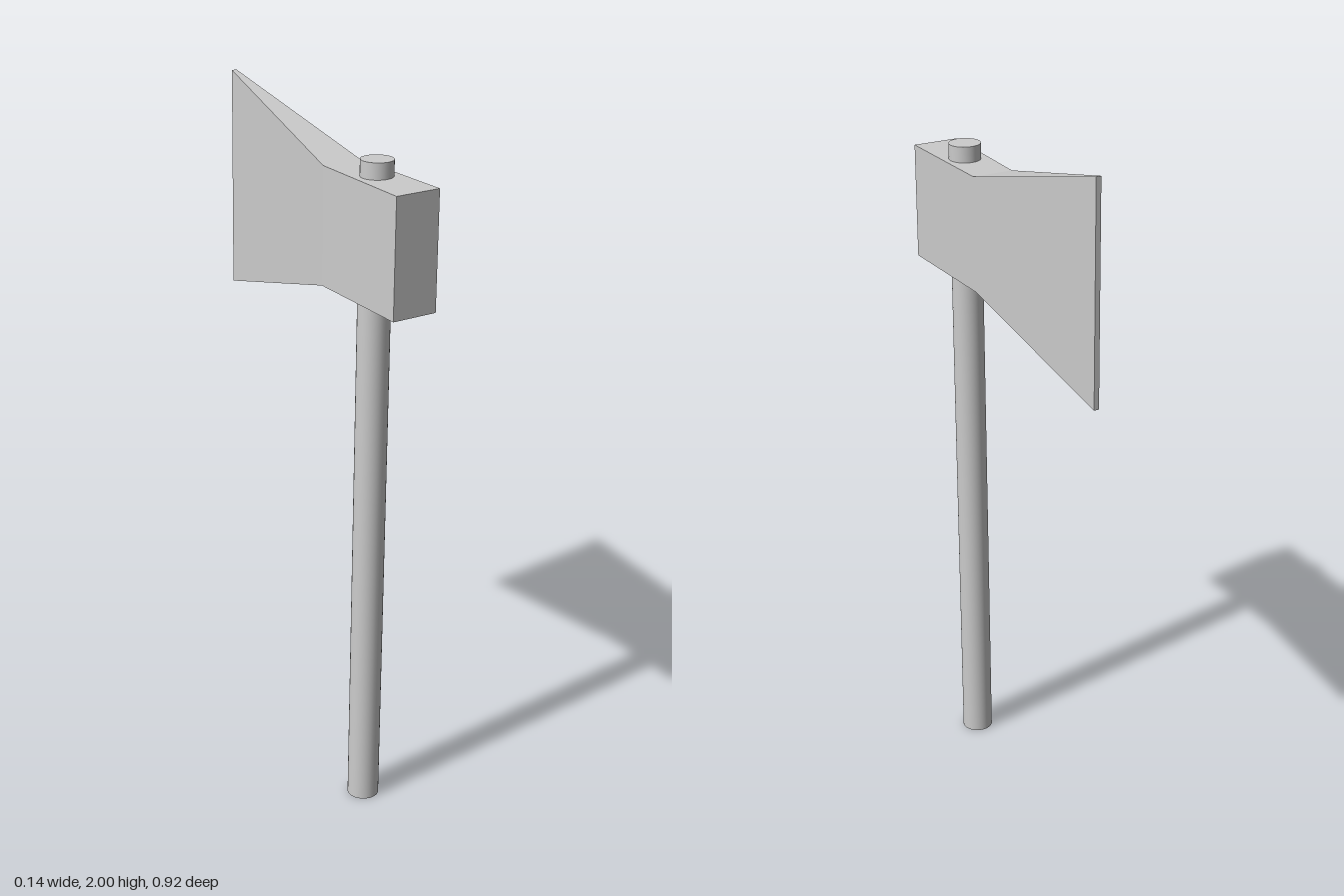
import * as THREE from 'three';

const material = new THREE.MeshStandardMaterial({ color: 0xcccccc });
const flatMaterial = new THREE.MeshStandardMaterial({ color: 0xcccccc, flatShading: true });
const LEAN = 0.0112; // sideways lean of the whole axe, x per unit of y

// Wedge lofted through rectangular sections, ordered from +z to -z.
function loftHead(sections) {
  const rings = sections.map(({ z, x0, x1, y0, y1 }) =>
    [[x0, y0], [x1, y0], [x1, y1], [x0, y1]].map(([x, y]) => [x + (y - 1.69) * LEAN, y, z]));
  const positions = [];
  const quad = (a, b, c, d) => positions.push(...a, ...b, ...c, ...a, ...c, ...d);
  for (let i = 0; i < rings.length - 1; i++) {
    for (let k = 0; k < 4; k++) {
      const n = (k + 1) % 4;
      quad(rings[i][k], rings[i + 1][k], rings[i + 1][n], rings[i][n]);
    }
  }
  const [a, b, c, d] = rings[0];
  quad(a, b, c, d);
  const [e, f, g, h] = rings[rings.length - 1];
  quad(h, g, f, e);
  const geometry = new THREE.BufferGeometry();
  geometry.setAttribute('position', new THREE.Float32BufferAttribute(positions, 3));
  geometry.computeVertexNormals();
  return geometry;
}

export function createModel() {
  const model = new THREE.Group();
  model.name = 'axe';

  // Round handle running through the head and poking out on top
  const bottom = new THREE.Vector3(-0.013, 0, 0.266);
  const top = new THREE.Vector3(0.008, 1.9, 0.27);
  const axis = top.clone().sub(bottom);
  const handle = new THREE.Mesh(new THREE.CylinderGeometry(0.045, 0.045, axis.length(), 32), material);
  handle.name = 'handle';
  handle.position.copy(bottom).add(top).multiplyScalar(0.5);
  handle.quaternion.setFromUnitVectors(new THREE.Vector3(0, 1, 0), axis.normalize());
  model.add(handle);

  // Blocky poll flaring into a thin, tall cutting edge
  const head = new THREE.Mesh(loftHead([
    { z: 0.458, x0: -0.068, x1: 0.067, y0: 1.525, y1: 1.855 },
    { z: 0.107, x0: -0.052, x1: 0.067, y0: 1.525, y1: 1.855 },
    { z: -0.458, x0: 0.013, x1: 0.028, y0: 1.375, y1: 2.0 },
  ]), flatMaterial);
  head.name = 'axeHead';
  model.add(head);

  return model;
}
